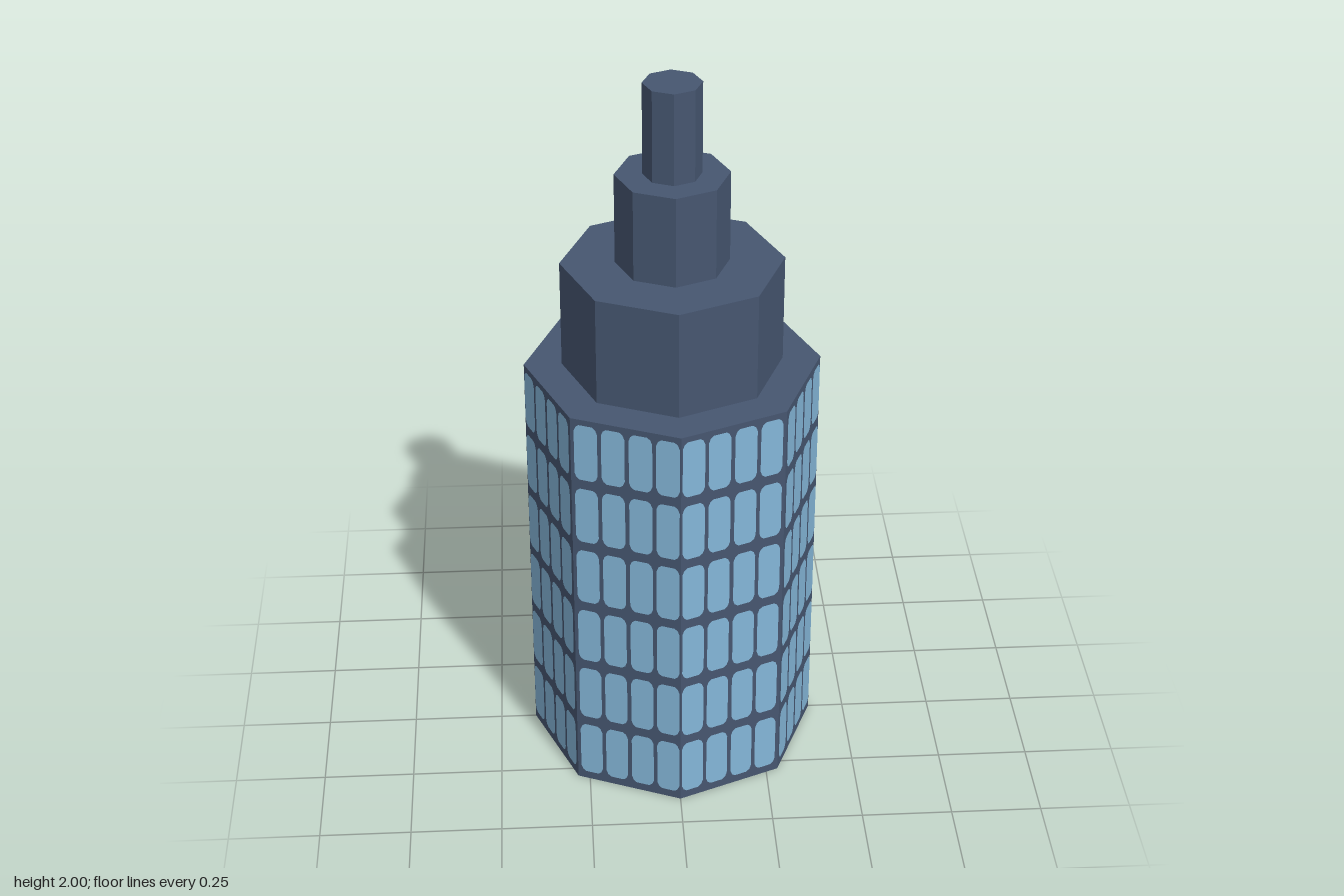
import * as THREE from 'three';

const SIDES = 8;
const RADIUS = 0.4;

// Tall pane with clipped corners, lower left corner at (x, y)
function paneShape(x, y, w, h) {
  const a = 0.014, b = 0.02, m = 0.005;
  const corner = [[0, b], [m, m * 1.4], [a, 0]];
  const back = [...corner].reverse();
  const pts = [
    ...corner.map(([u, v]) => [x + u, y + v]),
    ...back.map(([u, v]) => [x + w - u, y + v]),
    ...corner.map(([u, v]) => [x + w - u, y + h - v]),
    ...back.map(([u, v]) => [x + u, y + h - v]),
  ];
  return new THREE.Shape(pts.map(([u, v]) => new THREE.Vector2(u, v)));
}

export function createModel() {
  const model = new THREE.Group();
  model.name = 'tower';
  const wall = new THREE.MeshStandardMaterial({ color: 0x465670, flatShading: true });
  wall.name = 'slate blue wall';
  const glass = new THREE.MeshStandardMaterial({ color: 0x84b6d8 });
  glass.name = 'light blue glass';

  // Stepped octagonal tiers: name, radius, bottom, top
  const tiers = [
    ['mainTower', RADIUS, 0, 1.188],
    ['upperTier', 0.298, 1.188, 1.492],
    ['crownTier', 0.152, 1.492, 1.746],
    ['spire', 0.078, 1.746, 2],
  ];
  for (const [name, r, y0, y1] of tiers) {
    const mesh = new THREE.Mesh(new THREE.CylinderGeometry(r, r, y1 - y0, SIDES), wall);
    mesh.name = name;
    mesh.position.y = (y0 + y1) / 2;
    model.add(mesh);
  }

  // Six rows of four windows on each face, mirrored on alternate faces
  const width = 2 * RADIUS * Math.sin(Math.PI / SIDES);
  const apothem = RADIUS * Math.cos(Math.PI / SIDES);
  const starts = [0.012, 0.258, 0.508, 0.755];
  const paneWidth = 0.212;
  for (let i = 0; i < SIDES; i++) {
    const shapes = [];
    for (let row = 0; row < 6; row++) {
      for (const s of starts) {
        const f = i % 2 ? 1 - s - paneWidth : s;
        shapes.push(paneShape((f - 0.5) * width, 0.024 + row * 0.196, paneWidth * width, 0.168));
      }
    }
    const geometry = new THREE.ShapeGeometry(shapes);
    geometry.translate(0, 0, apothem + 0.001);
    const windows = new THREE.Mesh(geometry, glass);
    windows.name = 'windows' + (i + 1);
    windows.rotation.y = ((i + 0.5) * 2 * Math.PI) / SIDES;
    model.add(windows);
  }
  return model;
}
